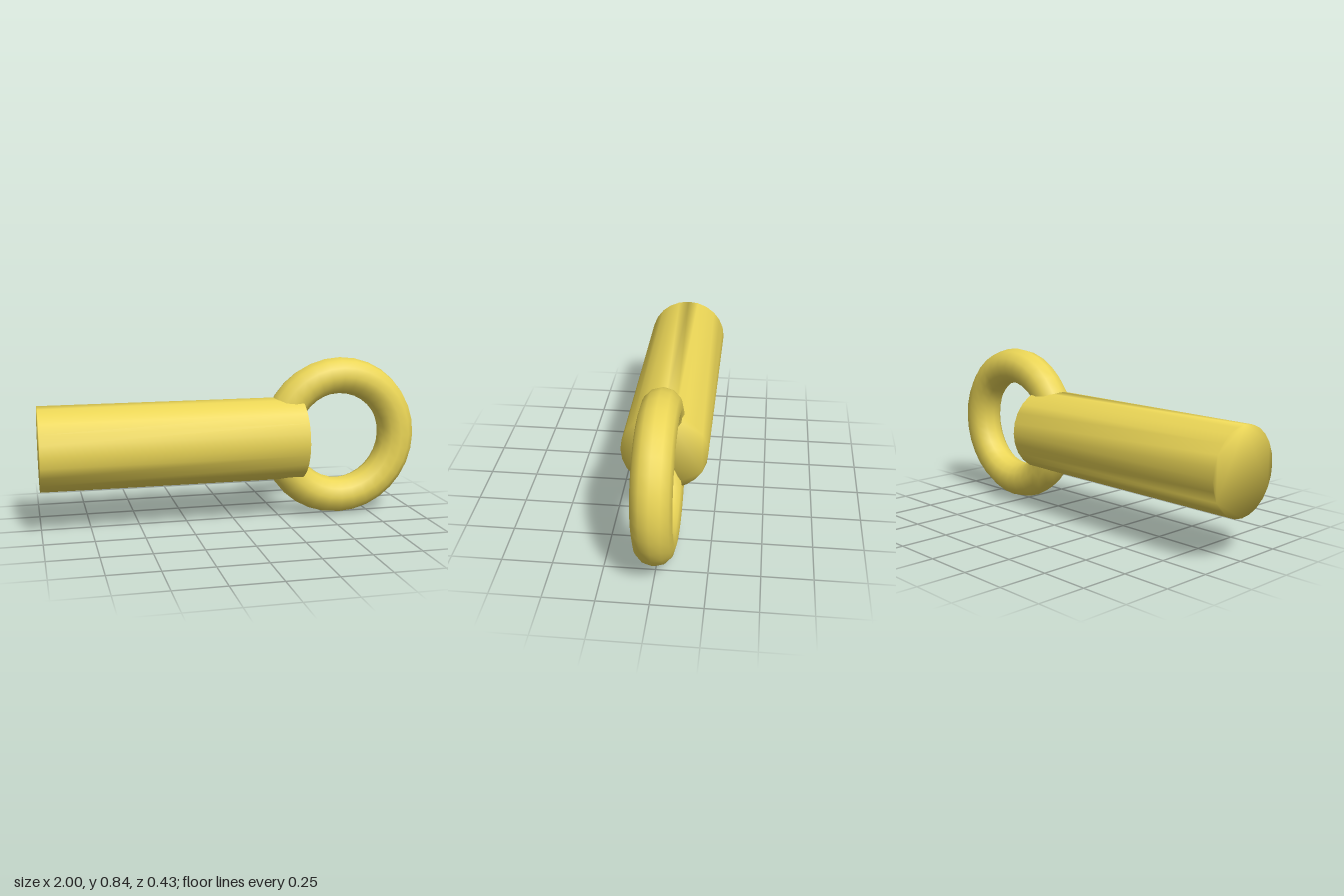
import * as THREE from 'three';
import { mergeVertices } from 'three/addons/utils/BufferGeometryUtils.js';

const CENTER_Y = 0.422;

// Solid 24-sided rod along x whose normals blend softly across the end rims
function rodGeometry(radius, length, sides) {
  const points = [];
  for (let i = 0; i < sides; i++) {
    const a = (i / sides) * Math.PI * 2;
    points.push(new THREE.Vector2(Math.cos(a) * radius, Math.sin(a) * radius));
  }
  const extruded = new THREE.ExtrudeGeometry(new THREE.Shape(points), {
    depth: length, steps: 1, bevelEnabled: false,
  });
  extruded.deleteAttribute('normal');
  extruded.deleteAttribute('uv');
  extruded.clearGroups();
  const geometry = mergeVertices(extruded, 1e-4);
  geometry.rotateY(Math.PI / 2);
  geometry.computeVertexNormals();
  return geometry;
}

export function createModel() {
  const model = new THREE.Group();
  model.name = 'rodWithRing';
  const brass = new THREE.MeshStandardMaterial({ color: 0xead556 });

  // Rod running from the far end into the ring
  const rod = new THREE.Mesh(rodGeometry(0.217, 1.36, 24), brass);
  rod.name = 'rod';
  rod.position.set(-1, CENTER_Y, 0);
  model.add(rod);

  // Upright ring set into the end of the rod
  const ring = new THREE.Mesh(new THREE.TorusGeometry(0.325, 0.096, 12, 32), brass);
  ring.name = 'ring';
  ring.position.set(0.579, CENTER_Y, 0);
  model.add(ring);

  return model;
}
